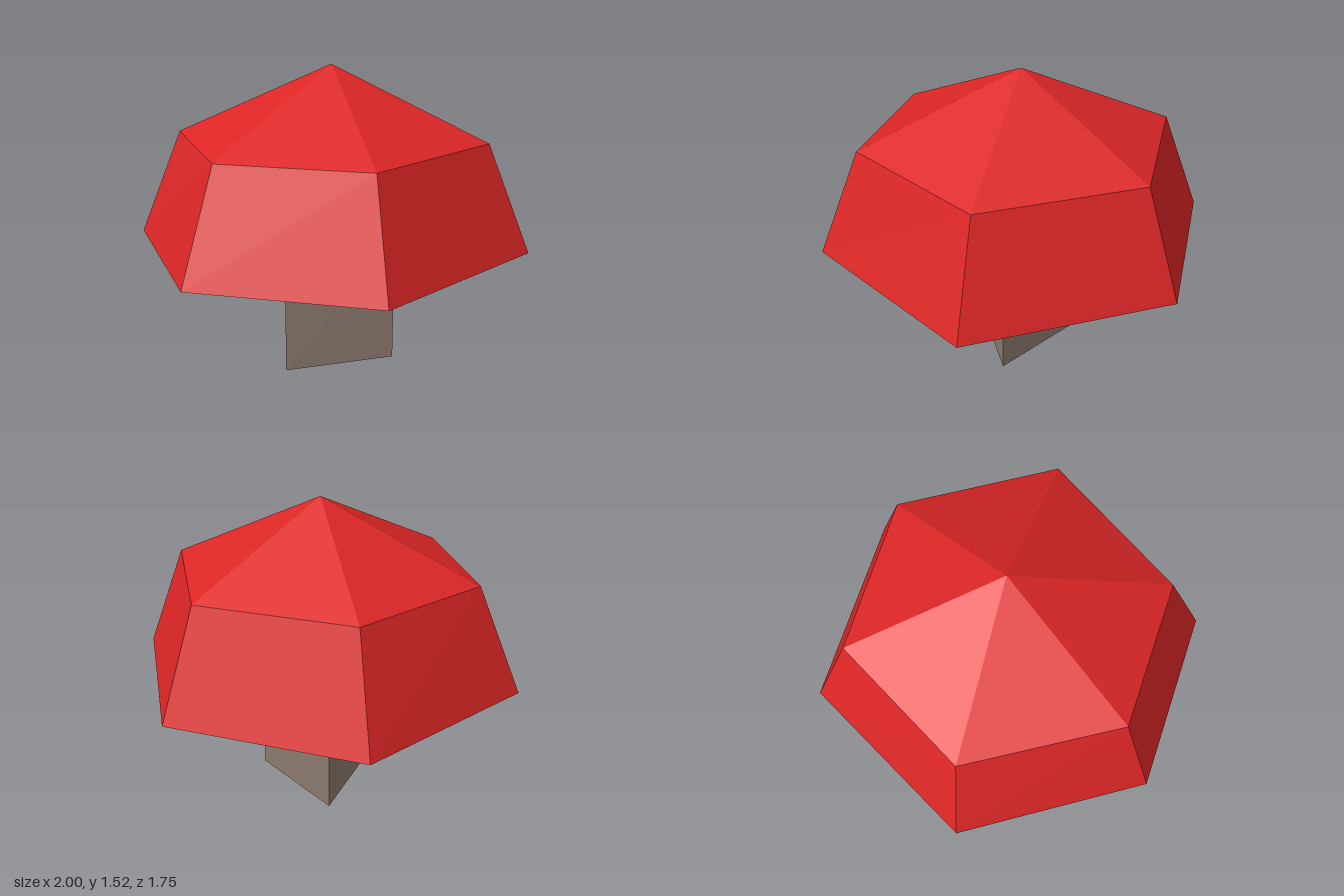
import * as THREE from 'three';

// Open faceted shell through cross-sections listed from bottom to top.
// Each section is { y, pts: [[x, z], ...] }, counter-clockwise from above.
function shell(sections) {
  const positions = [];
  const n = sections[0].pts.length;
  const at = (s, i) => {
    const p = s.pts.length === 1 ? s.pts[0] : s.pts[i % n];
    return [p[0], s.y, p[1]];
  };
  for (let k = 0; k < sections.length - 1; k++) {
    const lo = sections[k], hi = sections[k + 1];
    for (let i = 0; i < n; i++) {
      positions.push(...at(lo, i), ...at(lo, i + 1), ...at(hi, i + 1));
      if (hi.pts.length > 1) positions.push(...at(lo, i), ...at(hi, i + 1), ...at(hi, i));
    }
  }
  const geo = new THREE.BufferGeometry();
  geo.setAttribute('position', new THREE.Float32BufferAttribute(positions, 3));
  geo.computeVertexNormals();
  return geo;
}

function material(name, color) {
  const m = new THREE.MeshStandardMaterial({ color, flatShading: true, side: THREE.DoubleSide });
  m.name = name;
  return m;
}

export function createModel() {
  const group = new THREE.Group();
  group.name = 'mushroom';
  const add = (name, geo, mat) => {
    const mesh = new THREE.Mesh(geo, mat);
    mesh.name = name;
    group.add(mesh);
  };

  // Hollow six-sided cap: flared skirt and low pointed roof
  const rim = [[-0.46, 0.875], [0.46, 0.875], [0.995, -0.02], [0.415, -0.88], [-0.565, -0.84], [-1, 0.07]];
  const shoulder = [[-0.365, 0.685], [0.365, 0.685], [0.78, -0.025], [0.33, -0.705], [-0.445, -0.665], [-0.79, 0.02]];
  add('cap', shell([
    { y: 0.625, pts: rim },
    { y: 1.16, pts: shoulder },
    { y: 1.52, pts: [[0, -0.02]] },
  ]), material('red', 0xdd2626));

  // Three-sided open stem, reaching slightly inside the cap
  const stem = [[-0.165, 0.27], [0.33, -0.02], [-0.165, -0.305]];
  add('stem', shell([{ y: 0, pts: stem }, { y: 0.67, pts: stem }]), material('greyBrown', 0x8d7b6f));

  return group;
}
